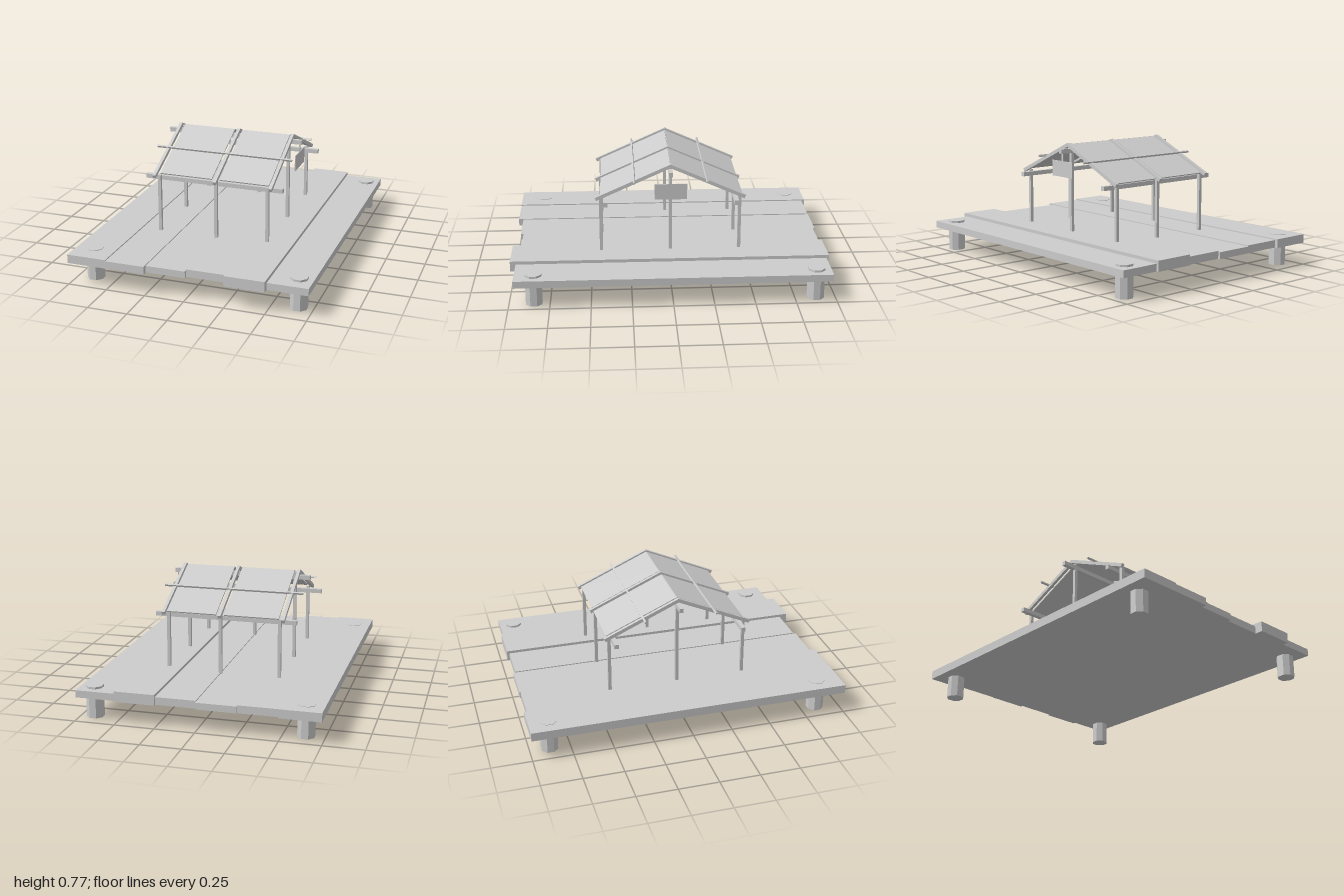
import * as THREE from 'three';

export function createModel() {
  const model = new THREE.Group();
  model.name = 'dockShelter';
  const wood = new THREE.MeshStandardMaterial({ color: 0xcccccc });
  wood.name = 'paleGrey';

  const add = (name, geometry, x, y, z, parent = model) => {
    const mesh = new THREE.Mesh(geometry, wood);
    mesh.name = name;
    mesh.position.set(x, y, z);
    parent.add(mesh);
    return mesh;
  };
  const box = (name, w, h, d, x, y, z, parent) =>
    add(name, new THREE.BoxGeometry(w, h, d), x, y, z, parent);

  // Deck planks of uneven height and length: [top, back z, front z]
  [
    [0.195, -1, 1], [0.188, -0.98, 1], [0.182, -0.985, 0.97],
    [0.188, -0.97, 0.95], [0.205, -0.985, 1], [0.185, -0.97, 0.965],
  ].forEach(([top, back, front], i) => {
    const h = top - 0.14;
    box('deckPlank', 0.25, h, front - back, -0.625 + i * 0.25, 0.14 + h / 2, (back + front) / 2);
  });

  // Octagonal piles, just showing through the deck
  for (const x of [-0.638, 0.662]) {
    for (const z of [-0.878, 0.847]) {
      const pile = new THREE.CylinderGeometry(0.054, 0.054, 0.198, 8).toNonIndexed();
      pile.rotateY(Math.PI / 8);
      pile.computeVertexNormals();
      add('pile', pile, x, 0.099, z);
    }
  }

  // Posts under the eaves, and taller ones under the ridge at each end
  const post = (x, z, top) => box('post', 0.02, top - 0.16, 0.02, x, (top + 0.16) / 2, z);
  for (const x of [-0.375, 0, 0.335]) {
    for (const z of [-0.435, 0.435]) post(x, z, 0.56);
    if (x !== 0) post(x, 0, 0.76);
  }

  // Ridge and eave beams
  box('ridgeBeam', 0.9, 0.028, 0.025, -0.025, 0.725, 0);
  for (const z of [-0.408, 0.405]) box('eaveBeam', 0.9, 0.027, 0.027, -0.025, 0.5375, z);

  // Two roof slopes: rafters, panels and a purlin across them
  const pitch = Math.atan2(0.207, 0.463);
  for (const side of [1, -1]) {
    const slope = new THREE.Group();
    slope.name = side > 0 ? 'frontRoofSlope' : 'backRoofSlope';
    slope.position.set(0, 0.763, 0);
    slope.rotation.x = side * pitch;
    model.add(slope);
    for (const x of [-0.4, 0, 0.36]) {
      box('rafter', 0.02, 0.022, 0.515, x, 0, side * 0.2535, slope);
    }
    const length = side > 0 ? 0.476 : 0.492;
    box('roofPanel', 0.344, 0.008, length, -0.199, 0.001, side * length / 2, slope);
    box('roofPanel', 0.318, 0.008, length, 0.184, 0.001, side * length / 2, slope);
    box('purlin', 0.9, 0.012, 0.012, -0.025, 0.012, side * 0.242, slope);
  }

  // Hanging board under the right end of the ridge beam
  box('hangingBoard', 0.006, 0.1, 0.2, 0.41, 0.613, 0);
  box('boardStrap', 0.004, 0.06, 0.015, 0.41, 0.69, 0);

  return model;
}
